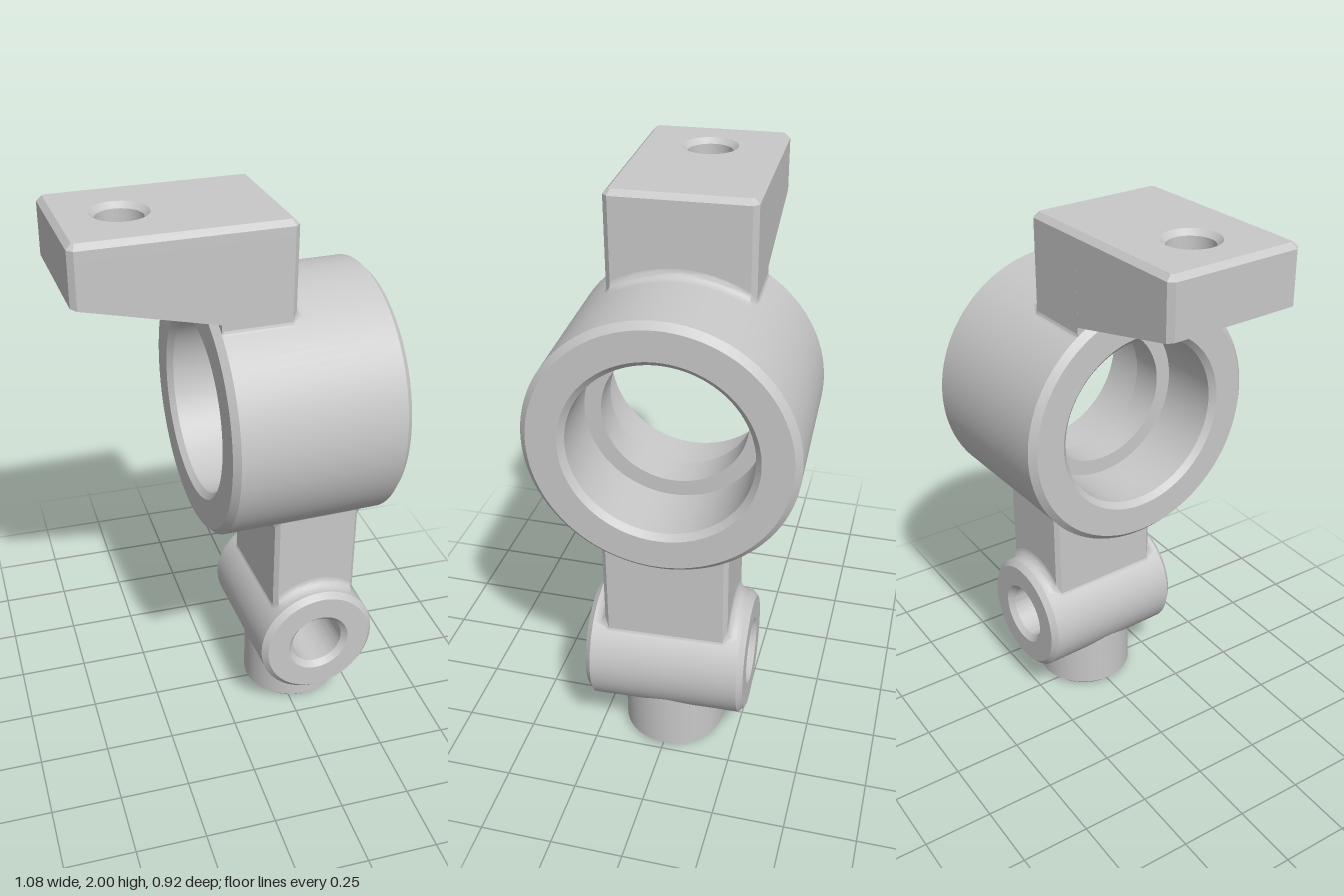
import * as THREE from 'three';
import { toCreasedNormals } from 'three/addons/utils/BufferGeometryUtils.js';

const RING_Y = 1.282, RING_R = 0.45;
const LUG_X = 0.088, LUG_Y = 0.353, LUG_R = 0.22;
const HOLE_X = -0.535, HOLE_R = 0.078;
const ARM_LEFT = -0.75, ROOT_LEFT = -0.285, ARM_RIGHT = -0.03, ARM_HZ = 0.245;

// Closed turned profile, given as [radius, height] with the outside running upward
function turned(points, segments = 72) {
  const geo = new THREE.LatheGeometry(points.map(([r, y]) => new THREE.Vector2(r, y)), segments);
  return toCreasedNormals(geo, 0.5);
}

// Rectangle seen from above, with cut corners at each end
function plan(x0, x1, hz, c0, c1, hole) {
  const shape = new THREE.Shape([
    [x0 + c0, -hz], [x1 - c1, -hz], [x1, -hz + c1], [x1, hz - c1],
    [x1 - c1, hz], [x0 + c0, hz], [x0, hz - c0], [x0, -hz + c0],
  ].map(([x, y]) => new THREE.Vector2(x, y)));
  if (hole) {
    const path = new THREE.Path();
    path.absarc(HOLE_X, 0, HOLE_R, 0, Math.PI * 2, true);
    shape.holes.push(path);
  }
  return shape;
}

// Upright prism from a plan shape
function prism(shape, y0, y1) {
  const geo = new THREE.ExtrudeGeometry(shape, { depth: y1 - y0, bevelEnabled: false, curveSegments: 24 });
  return geo.rotateX(-Math.PI / 2).translate(0, y0, 0);
}

// Concave blend between an upright block and the curved surface it stands on,
// with radius rx on the x sides and rz on the z sides
function fillet(x0, x1, hz, c, rx, rz, surface, sign, minX = -Infinity) {
  const steps = 6, pos = [], index = [], rim = [], loop = [];
  [[x1 - c, 1], [x0 + c, 1], [x0 + c, -1], [x1 - c, -1]].forEach(([x, sz], q) => {
    for (const k of [0, 1]) {
      const a = (q + k) * Math.PI / 2;
      rim.push({ x, z: sz * (hz - c), dx: Math.cos(a), dz: Math.sin(a) });
    }
  });
  // Subdivide the straight runs so that the blend follows the curve
  rim.forEach((p, i) => {
    const q = rim[(i + 1) % rim.length], n = i % 2 ? 12 : 1;
    for (let k = 0; k < n; k++) {
      const mix = (key) => p[key] + (q[key] - p[key]) * k / n;
      loop.push({ x: mix('x'), z: mix('z'), dx: mix('dx'), dz: mix('dz') });
    }
  });
  for (const p of loop) {
    const r = rx * Math.abs(p.dx) + rz * Math.abs(p.dz);
    for (let j = 0; j <= steps; j++) {
      const a = j / steps * Math.PI / 2, o = c + r * (1 - Math.cos(a));
      const x = Math.max(minX, p.x + p.dx * o), z = p.z + p.dz * o;
      pos.push(x, surface(x, z) + sign * r * (1 - Math.sin(a)), z);
    }
  }
  const w = steps + 1;
  for (let i = 0; i < loop.length; i++) {
    for (let j = 0; j < steps; j++) {
      const a = i * w + j, b = ((i + 1) % loop.length) * w + j;
      if (sign > 0) index.push(a, b, b + 1, a, b + 1, a + 1);
      else index.push(a, b + 1, b, a, a + 1, b + 1);
    }
  }
  const geo = new THREE.BufferGeometry();
  geo.setAttribute('position', new THREE.Float32BufferAttribute(pos, 3));
  geo.setIndex(index);
  return toCreasedNormals(geo, 0.6);
}

export function createModel() {
  const metal = new THREE.MeshStandardMaterial({ color: 0xc8c8c8 });
  metal.name = 'plain grey metal';
  const model = new THREE.Group();
  model.name = 'casting';
  const add = (name, geo) => {
    const mesh = new THREE.Mesh(geo, metal);
    mesh.name = name;
    model.add(mesh);
  };

  // Bearing housing: two counterbores with a lip between them
  const L = 0.308;
  add('bearingHousing', turned([
    [0.428, -L], [RING_R, -L + 0.022], [RING_R, L - 0.022], [0.428, L],
    [0.325, L], [0.305, L - 0.02], [0.305, 0.06], [0.248, 0.06],
    [0.248, -0.06], [0.305, -0.06], [0.305, -L + 0.02], [0.325, -L], [0.428, -L],
  ], 96).rotateZ(-Math.PI / 2).translate(0, RING_Y, 0));

  // Arm top: bevelled only on its upper rim and around the hole
  const top = new THREE.ExtrudeGeometry(plan(ARM_LEFT, ARM_RIGHT, ARM_HZ, 0.018, 0.018, true), {
    depth: 0.032, bevelThickness: 0.018, bevelSize: 0.018, bevelOffset: -0.018, bevelSegments: 1, curveSegments: 24,
  });
  const tp = top.attributes.position;
  for (let i = 0; i < tp.count; i++) tp.setZ(i, Math.max(0, tp.getZ(i)));
  top.rotateX(-Math.PI / 2).translate(0, 1.95, 0);
  add('armTop', toCreasedNormals(top, 0.4));

  // Overhanging arm with a sloping underside
  const arm = prism(plan(ARM_LEFT, ROOT_LEFT, ARM_HZ, 0.018, 0.0001, true), 1.6, 1.95);
  const ap = arm.attributes.position;
  for (let i = 0; i < ap.count; i++) {
    if (ap.getY(i) < 1.7) ap.setY(i, 1.69 - (ap.getX(i) - ROOT_LEFT) * 0.24);
  }
  add('armOverhang', toCreasedNormals(arm, 0.4));

  // Arm root, sunk into the housing
  add('armRoot', prism(plan(ROOT_LEFT, ARM_RIGHT, ARM_HZ, 0.0001, 0.018), 1.63, 1.95));
  const ringTop = (x, z) => RING_Y + Math.sqrt(RING_R ** 2 - z * z);
  const ringBottom = (x, z) => RING_Y - Math.sqrt(RING_R ** 2 - z * z);
  const lugTop = (x) => LUG_Y + Math.sqrt(LUG_R ** 2 - (x - LUG_X) ** 2);
  add('armFillet', fillet(ROOT_LEFT - 0.1, ARM_RIGHT, ARM_HZ, 0.018, 0.03, 0.008,
    ringTop, 1, ROOT_LEFT + 0.005));

  // Post between the housing and the lug
  const x0 = LUG_X - 0.158, x1 = LUG_X + 0.158, hz = 0.217;
  add('post', prism(plan(x0, x1, hz, 0.015, 0.015), 0.47, 0.93));
  add('postTopFillet', fillet(x0, x1, hz, 0.015, 0.03, 0.008, ringBottom, -1));
  add('postBottomFillet', fillet(x0, x1, hz, 0.015, 0.004, 0.035, lugTop, 1));

  // Cross lug with a through bore
  const H = 0.282;
  add('crossLug', turned([
    [0.2, -H], [LUG_R, -H + 0.02], [LUG_R, H - 0.02], [0.2, H],
    [0.118, H], [0.098, H - 0.02], [0.098, -H + 0.02], [0.118, -H], [0.2, -H],
  ]).rotateX(Math.PI / 2).translate(LUG_X, LUG_Y, 0));

  // Foot boss with a hole in its underside
  add('footBoss', turned([
    [0, 0.2], [0.075, 0.2], [0.075, 0.018], [0.092, 0], [0.165, 0], [0.182, 0.017], [0.182, 0.25],
  ]).translate(LUG_X, 0, 0));

  // The whole casting is turned slightly about the vertical
  model.rotation.y = 0.042;
  model.position.x = 0.216;
  const root = new THREE.Group();
  root.name = 'bearingCarrier';
  root.add(model);
  return root;
}
